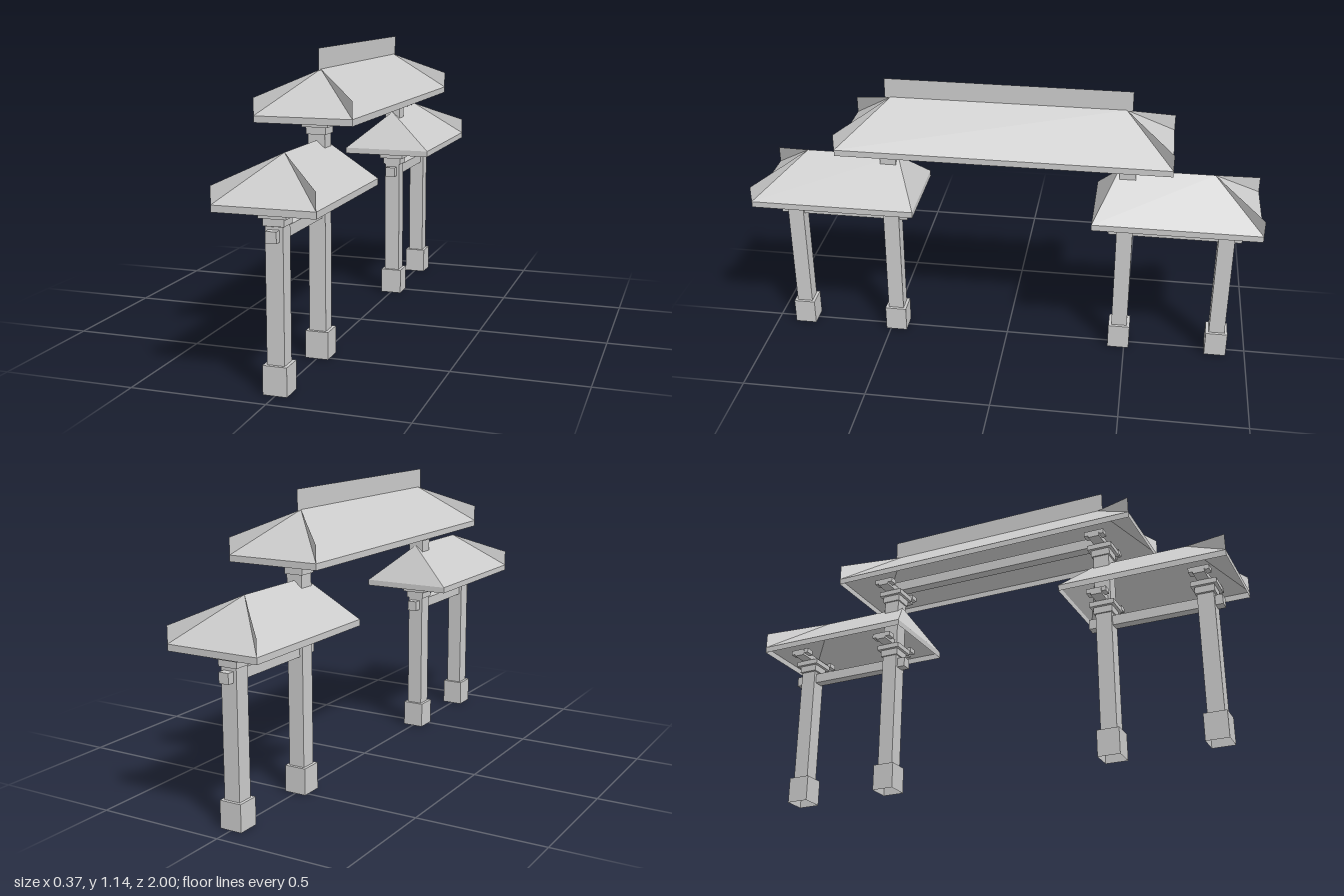
import * as THREE from 'three';

const stone = new THREE.MeshStandardMaterial({ color: 0xcccccc, side: THREE.DoubleSide });
stone.name = 'greyStone';

const HALF_W = 0.183; // half width of every roof

function addMesh(parent, name, geometry) {
  const mesh = new THREE.Mesh(geometry, stone);
  mesh.name = name;
  parent.add(mesh);
  return mesh;
}

// Box given by half widths, bottom and top; optionally without its bottom face
function box(parent, name, hx, hz, y0, y1, x = 0, z = 0, open = false) {
  const g = new THREE.BoxGeometry(hx * 2, y1 - y0, hz * 2);
  if (open) {
    const index = Array.from(g.index.array);
    index.splice(18, 6);
    g.setIndex(index);
  }
  addMesh(parent, name, g).position.set(x, (y0 + y1) / 2, z);
}

// Flat polygons (each a convex ring of points) joined into one geometry
function faces(polygons) {
  const pos = [];
  for (const p of polygons) {
    for (let i = 1; i < p.length - 1; i++) pos.push(...p[0], ...p[i], ...p[i + 1]);
  }
  const g = new THREE.BufferGeometry();
  g.setAttribute('position', new THREE.Float32BufferAttribute(pos, 3));
  g.computeVertexNormals();
  return g;
}

// Hollow hipped roof with a vertical eave band; a and b are its -z and +z ends
function hipRoof(parent, name, a, b, ridgeA, ridgeB, y, finA, finB) {
  const w = HALF_W, yEave = y + 0.024, yRidge = y + 0.178;
  const corners = [[-w, b], [w, b], [w, a], [-w, a]];
  const low = corners.map(([x, z]) => [x, y, z]);
  const mid = corners.map(([x, z]) => [x, yEave, z]);
  const A = [0, yRidge, ridgeA], B = [0, yRidge, ridgeB];
  const polys = [
    [mid[0], mid[1], B],
    [mid[1], mid[2], A, B],
    [mid[2], mid[3], A],
    [mid[3], mid[0], B, A],
  ];
  for (let i = 0; i < 4; i++) {
    const j = (i + 1) % 4;
    polys.push([low[i], low[j], mid[j], mid[i]]);
  }
  const group = new THREE.Group();
  group.name = name;
  parent.add(group);
  addMesh(group, 'roofShell', faces(polys));

  // Upturned fins standing on the hip lines
  const ends = [];
  if (finA) ends.push([a, A]);
  if (finB) ends.push([b, B]);
  for (const [z, apex] of ends) {
    for (const s of [-1, 1]) {
      addMesh(group, 'hipFin', faces([[[s * w, yEave, z], [s * w, yEave + 0.064, z], apex]]));
    }
  }
  return group;
}

// Stepped bracket set under a roof; y is its bottom
function bracket(parent, z, y) {
  const group = new THREE.Group();
  group.name = 'bracket';
  parent.add(group);
  box(group, 'lowerBlock', 0.038, 0.038, y, y + 0.027, 0, z);
  box(group, 'upperBlock', 0.05, 0.05, y + 0.027, y + 0.047, 0, z);
  box(group, 'crossArm', 0.11, 0.022, y + 0.047, y + 0.07, 0, z);
  for (const s of [-1, 1]) {
    box(group, 'armBlock', 0.018, 0.04, y + 0.056, y + 0.075, s * 0.09, z);
  }
}

export function createModel() {
  const model = new THREE.Group();
  model.name = 'gateway';

  for (const s of [-1, 1]) {
    const side = new THREE.Group();
    side.name = s > 0 ? 'frontBay' : 'backBay';
    model.add(side);

    // Posts: the inner one rises through the side roof
    for (const [z, top] of [[0.475, 0.835], [0.877, 0.58]]) {
      box(side, 'postBase', 0.044, 0.044, 0, 0.104, 0, s * z, true);
      box(side, 'post', 0.032, 0.032, 0.104, top, 0, s * z);
      bracket(side, s * z, 0.582);
    }
    bracket(side, s * 0.475, 0.835);

    // Tie beam through both posts
    box(side, 'tieBeam', 0.02, 0.264, 0.53, 0.57, 0, s * 0.674);

    // Side roof: fins on the outer end only
    if (s > 0) hipRoof(side, 'sideRoof', 0.35, 1, 0.44, 0.81, 0.635, false, true);
    else hipRoof(side, 'sideRoof', -1, -0.35, -0.81, -0.44, 0.635, true, false);
  }

  // Main roof with its lintel and thin crest
  const main = hipRoof(model, 'mainRoof', -0.645, 0.645, -0.457, 0.457, 0.886, true, true);
  box(model, 'lintel', 0.022, 0.475, 0.888, 0.93);
  addMesh(main, 'ridgeCrest', faces([[
    [0, 1.06, 0.48], [0, 1.06, -0.48], [0, 1.14, -0.48], [0, 1.14, 0.48],
  ]]));

  return model;
}
